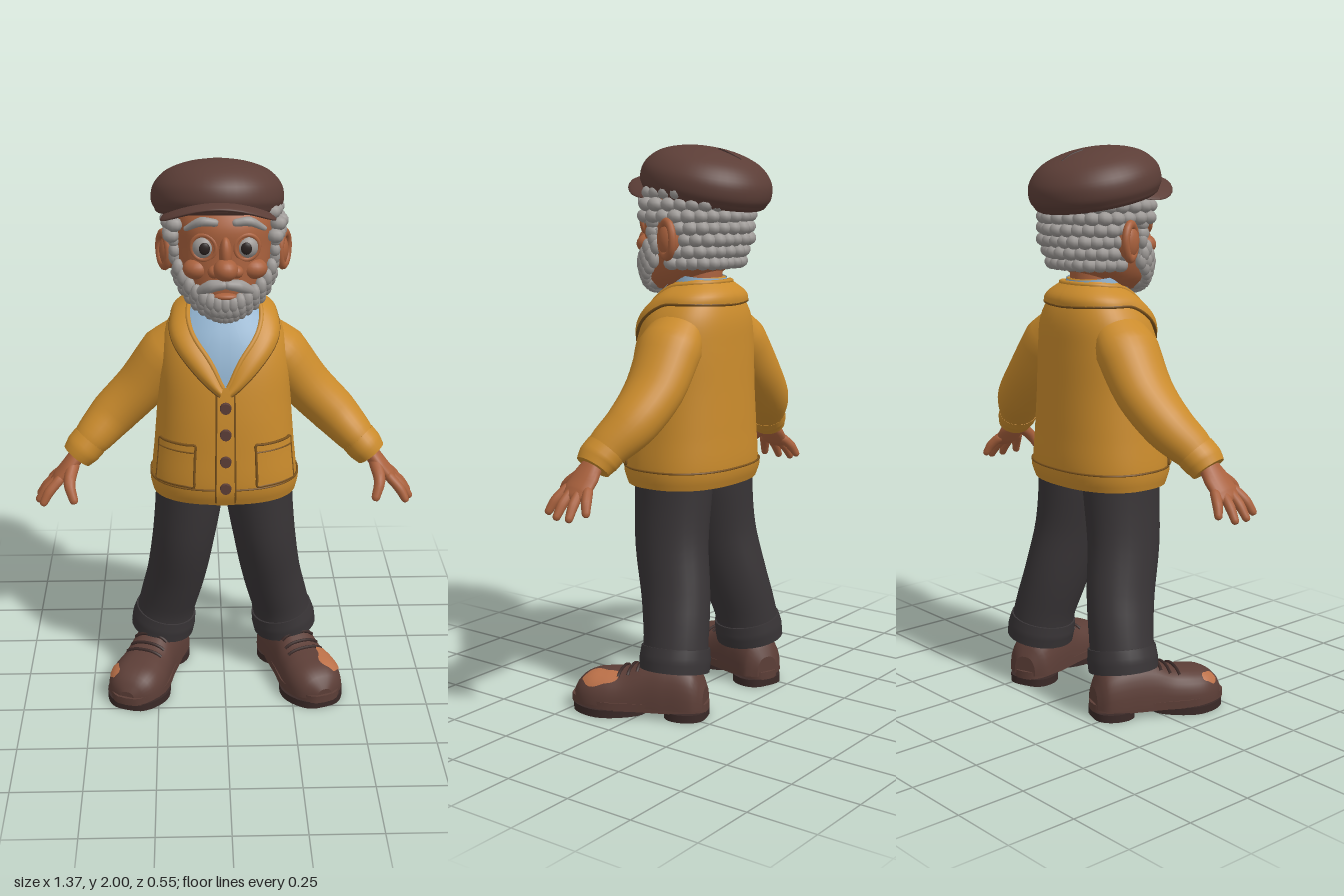
import * as THREE from 'three';
import { mergeGeometries } from 'three/addons/utils/BufferGeometryUtils.js';

const V = (x, y, z) => new THREE.Vector3(x, y, z);
const pw = (s, e) => Math.sign(s) * Math.abs(s) ** e;

const mat = (name, color, side = THREE.FrontSide) => Object.assign(new THREE.MeshStandardMaterial({ color, side }), { name });

// Smooth lookup in a table whose first column is the key
function at(T, y) {
  let i = 0;
  while (i < T.length - 2 && y > T[i + 1][0]) i++;
  const A = T[i], B = T[i + 1], P = T[i - 1] || A, N = T[i + 2] || B, h = B[0] - A[0];
  const t = THREE.MathUtils.clamp((y - A[0]) / h, 0, 1), t2 = t * t, t3 = t2 * t;
  return A.map((a, k) => {
    const m0 = (B[k] - P[k]) / (B[0] - P[0]) * h, m1 = (N[k] - a) / (N[0] - A[0]) * h;
    return (2 * t3 - 3 * t2 + 1) * a + (t3 - 2 * t2 + t) * m0 + (3 * t2 - 2 * t3) * B[k] + (t3 - t2) * m1;
  });
}

function build(pts, index) {
  const g = new THREE.BufferGeometry().setFromPoints(pts);
  g.setIndex(index);
  g.computeVertexNormals();
  return g;
}

// Closed skin over rings of points, with capped ends
function loft(rings) {
  const n = rings[0].length, m = rings.length, pts = rings.flat(), idx = [];
  for (let i = 0; i < m - 1; i++) for (let j = 0; j < n; j++) {
    const a = i * n + j, b = i * n + (j + 1) % n;
    idx.push(a, b, b + n, a, b + n, a + n);
  }
  [0, m - 1].forEach((r, end) => {
    const c = pts.length, mid = V(0, 0, 0);
    rings[r].forEach(p => mid.addScaledVector(p, 1 / n));
    pts.push(mid, ...rings[r].map(p => p.clone()));
    for (let j = 0; j < n; j++) {
      const a = c + 1 + j, b = c + 1 + (j + 1) % n;
      end ? idx.push(c, a, b) : idx.push(c, b, a);
    }
  });
  return build(pts, idx);
}
const ring = (n, f) => Array.from({ length: n }, (_, j) => f(j / n * Math.PI * 2));

// Tapering limb through points [x, y, z, radius along z, radius across]
function limb(P, round = false, n = 18, sub = 4) {
  const curve = new THREE.CatmullRomCurve3(P.map(p => V(p[0], p[1], p[2])));
  const steps = (P.length - 1) * sub, rings = [];
  const put = (s, push, k) => {
    const c = curve.getPoint(s), t = curve.getTangent(s), f = s * (P.length - 1), i = Math.min(Math.floor(f), P.length - 2);
    const [r1, r2] = [3, 4].map(q => THREE.MathUtils.lerp(P[i][q], P[i + 1][q], f - i));
    const u = V(0, 0, 1).addScaledVector(t, -t.z).normalize(), v = t.clone().cross(u);
    c.addScaledVector(t, push * r2);
    rings.push(ring(n, a => c.clone().addScaledVector(u, Math.cos(a) * r1 * k).addScaledVector(v, Math.sin(a) * r2 * k)));
  };
  if (round) { put(0, -0.85, 0.5); put(0, -0.5, 0.86); }
  for (let i = 0; i <= steps; i++) put(i / steps, 0, 1);
  if (round) { put(1, 0.5, 0.86); put(1, 0.85, 0.5); }
  return loft(rings);
}

// Open sheet from f(u, v)
function patch(f, nu = 12, nv = 12) {
  const pts = [], idx = [], w = nu + 1;
  for (let j = 0; j <= nv; j++) for (let i = 0; i <= nu; i++) pts.push(f(i / nu, j / nv));
  for (let j = 0; j < nv; j++) for (let i = 0; i < nu; i++) {
    const a = j * w + i;
    idx.push(a, a + 1, a + w + 1, a, a + w + 1, a + w);
  }
  return build(pts, idx);
}

const ball = (x, y, z, a, b, c, n = 20) => new THREE.SphereGeometry(1, n, Math.ceil(n * 0.7)).scale(a, b, c).translate(x, y, z);
const cord = (pts, r = 0.004, closed = false) => new THREE.TubeGeometry(new THREE.CatmullRomCurve3(pts, closed, 'centripetal'), pts.length * 3, r, 6, closed);
const line = (n, f) => Array.from({ length: n + 1 }, (_, i) => f(i / n));
const lerp = THREE.MathUtils.lerp;

function flip(g) {
  const m = g.clone().scale(-1, 1, 1), x = m.index.array;
  for (let i = 0; i < x.length; i += 3) [x[i], x[i + 1]] = [x[i + 1], x[i]];
  return m;
}

// Body surface by angle (0 = front) and height; rows are [y, half width, front z, back z]
const surface = (T, e) => (a, y, off = 0) => {
  const [, rx, zf, zb] = at(T, y);
  return V((rx + off) * pw(Math.sin(a), e), y, (zf + zb) / 2 + ((zf - zb) / 2 + off) * pw(Math.cos(a), e));
};
const body = surface([[0.81, 0.252, 0.195, -0.18], [0.86, 0.262, 0.213, -0.197], [1, 0.25, 0.212, -0.195], [1.15, 0.238, 0.203, -0.19],
  [1.3, 0.232, 0.178, -0.185], [1.4, 0.21, 0.14, -0.178], [1.47, 0.162, 0.095, -0.155], [1.52, 0.108, 0.055, -0.12], [1.54, 0.09, 0.04, -0.105]], 0.85);
const skull = surface([[1.495, 0.06, 0.15, -0.02], [1.53, 0.105, 0.17, -0.06], [1.58, 0.138, 0.178, -0.12], [1.65, 0.158, 0.18, -0.155],
  [1.72, 0.165, 0.175, -0.168], [1.8, 0.165, 0.172, -0.168], [1.88, 0.14, 0.13, -0.15]], 0.92);

// Shoe upper, rows are [z, half width, height]
const SHOE = [[-0.235, 0.045, 0.11], [-0.205, 0.08, 0.17], [-0.1, 0.09, 0.2], [-0.02, 0.092, 0.19], [0.05, 0.1, 0.157],
  [0.12, 0.108, 0.147], [0.18, 0.1, 0.137], [0.225, 0.072, 0.11], [0.247, 0.03, 0.075]];
const shoePoint = (z, a, off = 0) => {
  const [, w, h] = at(SHOE, z);
  return V((w + off) * pw(Math.cos(a), 0.8), 0.04 + (h + off - 0.04) * Math.max(0, Math.sin(a)) ** 0.8, z);
};
const SOLE = [[-0.24, 0.085], [-0.1, 0.09], [0, 0.095], [0.13, 0.118], [0.25, 0.1]];
const slab = (z0, z1, y0, y1) => loft([y0, y1].map(y => ring(36, a => {
  const z = (z0 + z1) / 2 + (z1 - z0) / 2 * Math.cos(a);
  return V(at(SOLE, z)[1] * pw(Math.sin(a), 0.6), y, z);
})));
const placeShoe = g => g.rotateY(0.36).translate(0.28, 0, 0.025);

export function createModel() {
  const model = new THREE.Group();
  model.name = 'elderlyManInCardigan';
  const D = THREE.DoubleSide;
  const ochre = mat('ochreKnit', 0xca8b2c, D), seam = mat('darkSeam', 0x7c531c), trouser = mat('charcoalTrousers', 0x383436),
    leather = mat('brownLeatherAndHat', 0x5c3e37), sole = mat('darkSole', 0x3a2927), skin = mat('skin', 0xa9613d),
    grey = mat('greyHair', 0x9d9996, D), shirt = mat('blueShirt', 0x8fb0cc, D), scuff = mat('scuffedTan', 0xbb7048, D), dark = mat('pupil', 0x2a2220);
  const add = (name, g, m) => {
    const mesh = new THREE.Mesh(g, m);
    mesh.name = name;
    model.add(mesh);
  };
  const pair = (name, g, m) => { add(name + 'Left', g, m); add(name + 'Right', flip(g), m); };

  // Cardigan body, hem and button band
  add('cardiganBody', loft(line(36, t => ring(56, a => body(a, lerp(0.81, 1.54, t))))), ochre);
  add('cardiganHem', patch((u, v) => body(u * Math.PI * 2, lerp(0.81, 0.87, v), 0.007), 56, 3), ochre);
  add('hemSeam', cord(ring(40, a => body(a, 0.873, 0.004)), 0.004, true), seam);
  add('buttonBand', patch((u, v) => body(lerp(-0.085, 0.085, u), lerp(0.81, 1.23, v), 0.01), 6, 20), ochre);
  pair('bandSeam', cord(line(14, t => body(0.088, lerp(0.82, 1.23, t), 0.007))), seam);
  [1.18, 1.085, 0.985, 0.884].forEach((y, i) => {
    const p = body(0, y, 0.014);
    add('button' + (i + 1), new THREE.CylinderGeometry(0.019, 0.021, 0.016, 16).rotateX(Math.PI / 2).translate(p.x, p.y, p.z), leather);
  });

  // Patch pockets
  const pocket = (u, v, off) => body(lerp(0.36, 1.08, u), lerp(0.885, 1.04, v), off);
  pair('pocket', patch((u, v) => pocket(u, v, 0.012)), ochre);
  const edge = [...line(6, t => [t, 0]), ...line(6, t => [1, t]).slice(1), ...line(6, t => [1 - t, 1]).slice(1), ...line(6, t => [0, 1 - t]).slice(1, 6)];
  pair('pocketSeam', cord(edge.map(([u, v]) => pocket(u, v, 0.009)), 0.005, true), seam);
  pair('pocketTopSeam', cord(line(8, t => pocket(t, 0.83, 0.012)), 0.003), seam);

  // Shawl collar and shirt front
  const path = P => new THREE.SplineCurve(P.map(p => new THREE.Vector2(...p)));
  const inner = path([[Math.PI, 1.525], [1.8, 1.52], [0.95, 1.49], [0.26, 1.365], [0.02, 1.25]]);
  const outer = path([[Math.PI, 1.45], [1.9, 1.455], [1.3, 1.44], [0.6, 1.34], [0.05, 1.22]]);
  pair('shawlCollar', patch((u, v) => {
    const p = inner.getPoint(u).lerp(outer.getPoint(u), v);
    return body(p.x, p.y, 0.012 + 0.012 * Math.sin(v * Math.PI));
  }, 32, 8), ochre);
  const along = (c, off) => line(20, t => { const p = c.getPoint(t); return body(p.x, p.y, off); });
  pair('collarInnerRoll', cord(along(inner, 0.008), 0.009), ochre);
  pair('collarOuterSeam', cord(along(outer, 0.007), 0.006), seam);
  add('shirtFront', patch((u, v) => {
    const p = inner.getPoint(lerp(1, 0.4, v));
    return body(p.x * (2 * u - 1), p.y, 0.005);
  }, 16, 16), shirt);
  add('shirtCollarBand', new THREE.CylinderGeometry(0.098, 0.112, 0.075, 32, 1, true).scale(1, 1, 0.9).rotateX(-0.12).translate(0, 1.51, -0.025), shirt);
  pair('shirtCollarFlap', patch((u, v) => body(lerp(lerp(0.2, 0.06, v), lerp(0.27, 0.85, v), u), lerp(1.39, 1.515, v), 0.015), 6, 6), shirt);
  add('shirtPlacket', patch((u, v) => body(lerp(-0.05, 0.05, u), lerp(1.26, 1.47, v), 0.009), 4, 8), shirt);

  // Sleeves and cuffs
  pair('sleeve', limb([[0.13, 1.38, -0.03, 0.1, 0.07], [0.2, 1.3, -0.04, 0.12, 0.1], [0.3, 1.17, -0.05, 0.11, 0.09],
    [0.4, 1.07, -0.035, 0.095, 0.084], [0.47, 1, 0.005, 0.08, 0.07], [0.515, 0.955, 0.025, 0.065, 0.055]], false, 28), ochre);
  pair('sleeveCuff', limb([[0.485, 0.985, 0.013, 0.077, 0.067], [0.51, 0.958, 0.024, 0.076, 0.066], [0.532, 0.932, 0.03, 0.066, 0.057]], false, 28), ochre);

  // Hands
  pair('palm', limb([[0.52, 0.95, 0.03, 0.036, 0.03], [0.56, 0.9, 0.04, 0.055, 0.028], [0.595, 0.862, 0.045, 0.058, 0.024], [0.612, 0.845, 0.047, 0.05, 0.018]], true), skin);
  [[0, -0.03, 0.64, 0.8], [0.032, 0.018, 0.67, 0.782], [0.064, 0.072, 0.67, 0.782], [0.092, 0.125, 0.65, 0.79]].forEach(([z0, z1, x, y], i) =>
    pair('finger' + (i + 1), limb([[0.595, 0.862, z0, 0.018, 0.018], [lerp(0.605, x, 0.55), lerp(0.855, y, 0.45), lerp(z0, z1, 0.6), 0.018, 0.018], [x, y, z1, 0.014, 0.014]], true, 12), skin));
  pair('thumb', limb([[0.545, 0.91, 0.06, 0.024, 0.024], [0.555, 0.862, 0.125, 0.021, 0.021], [0.54, 0.812, 0.155, 0.016, 0.016]], true, 12), skin);

  // Trousers with turn-ups
  pair('trouserLeg', limb([[0.235, 0.18, -0.086, 0.12, 0.112], [0.215, 0.28, -0.078, 0.12, 0.108], [0.18, 0.42, -0.05, 0.13, 0.11],
    [0.15, 0.6, -0.01, 0.14, 0.115], [0.127, 0.78, 0, 0.147, 0.124], [0.122, 0.88, 0, 0.15, 0.125]], false, 28), trouser);
  pair('trouserCuff', limb([[0.237, 0.165, -0.087, 0.128, 0.12], [0.23, 0.205, -0.085, 0.13, 0.122], [0.222, 0.245, -0.082, 0.126, 0.115]], false, 28), trouser);

  // Shoes with soles, laces and worn toes
  pair('shoeUpper', placeShoe(loft(line(36, t => ring(32, a => shoePoint(lerp(-0.235, 0.247, t), a))))), leather);
  pair('shoeWelt', placeShoe(slab(-0.245, 0.258, 0.026, 0.055)), leather);
  pair('foreSole', placeShoe(slab(-0.02, 0.25, 0, 0.028)), sole);
  pair('heel', placeShoe(slab(-0.242, -0.09, 0, 0.028)), sole);
  [0, 0.035, 0.07].forEach((z, i) => pair('lace' + (i + 1), placeShoe(cord(line(8, t => shoePoint(z, lerp(0.95, 2.2, t), 0.003)), 0.006)), sole));
  const worn = (z, a, rz, ra) => placeShoe(patch((u, v) => {
    const t = v * Math.PI * 2, r = u * (1 + 0.1 * Math.sin(3 * t) + 0.07 * Math.sin(5 * t));
    return shoePoint(z + rz * r * Math.sin(t), a + ra * r * Math.cos(t), 0.005);
  }, 6, 30));
  add('wornToeLeft', worn(0.14, 1.02, 0.07, 0.42), scuff);
  add('wornToeRight', flip(worn(0.185, 0.85, 0.03, 0.28)), scuff);

  // Neck, head, ears and nose
  add('neck', new THREE.CylinderGeometry(0.082, 0.086, 0.17, 28).translate(0, 1.545, -0.02), skin);
  add('head', loft(line(28, t => ring(44, a => skull(a, lerp(1.495, 1.88, t))))), skin);
  pair('ear', ball(0.19, 1.675, -0.03, 0.034, 0.062, 0.04).rotateZ(0), skin);
  pair('earRim', new THREE.TorusGeometry(0.048, 0.014, 10, 24).scale(0.85, 1.2, 1).rotateY(1.15).translate(0.208, 1.678, -0.035), skin);
  add('noseTip', ball(0, 1.668, 0.196, 0.042, 0.038, 0.044), skin);
  add('noseBridge', ball(0, 1.715, 0.172, 0.022, 0.06, 0.036), skin);
  pair('nostril', ball(0.036, 1.658, 0.183, 0.024, 0.022, 0.026), skin);
  pair('cheek', ball(0.095, 1.655, 0.13, 0.048, 0.036, 0.042), skin);
  add('lowerLip', ball(0, 1.572, 0.182, 0.04, 0.012, 0.02), skin);

  // Eyes and brows
  pair('eye', ball(0.072, 1.735, 0.148, 0.039, 0.039, 0.032), grey);
  pair('pupil', ball(0.07, 1.735, 0.174, 0.019, 0.021, 0.009), dark);
  pair('eyelid', new THREE.TorusGeometry(0.042, 0.008, 8, 28).rotateY(0.25).translate(0.072, 1.735, 0.158), skin);
  pair('eyebrow', limb([[0.035, 1.822, 0.172, 0.012, 0.013], [0.08, 1.825, 0.168, 0.016, 0.016], [0.13, 1.795, 0.138, 0.01, 0.009]], true, 10), grey);

  // Beard and moustache
  const beardAt = (a, v, off) => {
    const k = (a / 1.45) ** 2;
    return skull(a, lerp(1.497 + 0.11 * k, 1.555 + 0.16 * k, v), off);
  };
  add('beardBase', patch((u, v) => beardAt(lerp(-1.45, 1.45, u), v, 0.016), 36, 8), grey);
  const tufts = [ball(0, 1.522, 0.155, 0.085, 0.038, 0.045, 9)];
  for (let i = -8; i <= 8; i++) for (let j = 0; j < 3; j++) {
    const p = beardAt((i + (j % 2) * 0.4) * 0.17, 0.1 + j * 0.36, 0.012);
    tufts.push(ball(p.x, p.y, p.z, 0.021, 0.031, 0.021, 9));
  }
  add('beardTufts', mergeGeometries(tufts), grey);
  pair('moustache', limb([[0.008, 1.618, 0.198, 0.02, 0.017], [0.05, 1.61, 0.19, 0.022, 0.022], [0.105, 1.575, 0.15, 0.012, 0.01]], true, 12), grey);

  // Curly hair around the back and sides
  add('hairBase', patch((u, v) => skull(lerp(1.75, Math.PI * 2 - 1.75, u), lerp(1.59, 1.85, v), 0.018), 32, 8), grey);
  const curls = [];
  for (let r = 0; r < 7; r++) {
    const y = 1.595 + r * 0.04, start = y > 1.73 ? 1.2 : 1.85, n = y > 1.73 ? 17 : 12;
    for (let i = 0; i <= n; i++) {
      const p = skull(lerp(start, Math.PI * 2 - start, (i + (r % 2 - 0.5) * 0.4) / n), y, 0.022 + 0.005 * Math.sin(i * 5 + r * 3));
      curls.push(ball(p.x, p.y, p.z, 0.029, 0.025, 0.029, 9));
    }
  }
  [-1, 1].forEach(s => [1.7, 1.735, 1.77].forEach(y => {
    const p = skull(s * 1.32, y, 0.012);
    curls.push(ball(p.x, p.y, p.z, 0.02, 0.026, 0.026, 9));
  }));
  add('hairCurls', mergeGeometries(curls), grey);

  // Flat cap
  const placeCap = g => g.rotateX(-0.2).translate(-0.022, 1.865, -0.035);
  const profile = path([[0, -0.045], [0.8, -0.06], [0.96, -0.035], [1, 0], [0.95, 0.045], [0.75, 0.09], [0.4, 0.118], [0, 0.128]]).getPoints(28);
  profile.forEach(p => { p.x = Math.max(0, p.x); });
  add('capCrown', placeCap(new THREE.LatheGeometry(profile, 48).scale(0.228, 1, 0.238)), leather);
  add('capSeam', placeCap(cord([V(0, 0.126, -0.03), V(0.006, 0.12, -0.08), V(0, 0.107, -0.13)], 0.004)), sole);
  const brim = ball(0, 0, 0, 0.195, 0.02, 0.16, 32), bp = brim.attributes.position;
  for (let i = 0; i < bp.count; i++) bp.setY(i, bp.getY(i) - 1.6 * bp.getX(i) ** 2);
  brim.computeVertexNormals();
  add('capBrim', brim.rotateX(-0.05).translate(-0.022, 1.876, 0.092), leather);
  return model;
}
